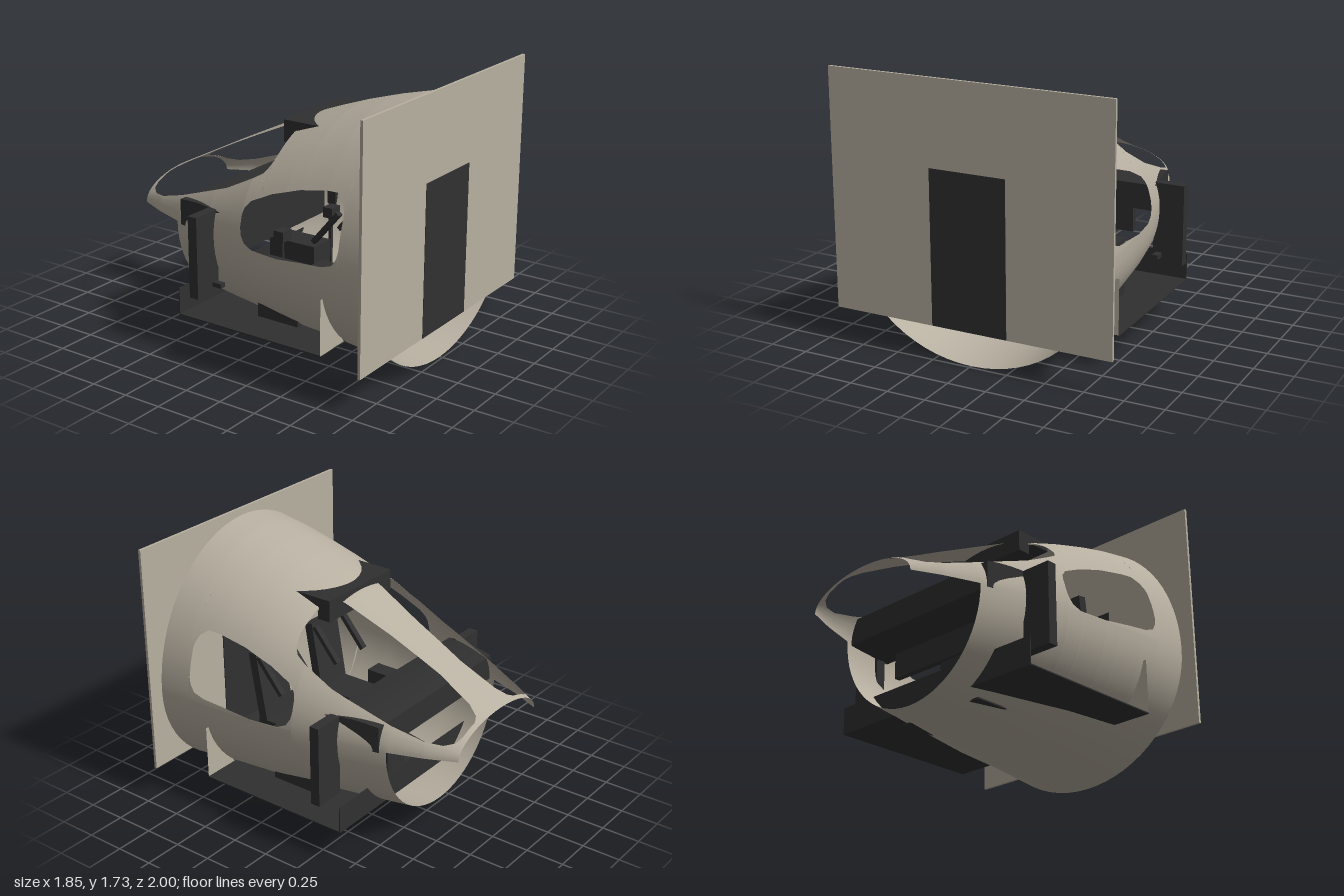
import * as THREE from 'three';
import { mergeVertices } from 'three/addons/utils/BufferGeometryUtils.js';

const paint = (name, color, side = THREE.FrontSide) => {
  const m = new THREE.MeshStandardMaterial({ color, side });
  m.name = name;
  return m;
};

// piecewise-linear lookup through [z, value] pairs in ascending z
function lookup(points, z) {
  if (z <= points[0][0]) return points[0][1];
  for (let i = 1; i < points.length; i++) {
    const [a, va] = points[i - 1], [b, vb] = points[i];
    if (z <= b) return va + (vb - va) * (z - a) / (b - a);
  }
  return points[points.length - 1][1];
}

// hull outline along z
const MID = 0.74;
const TOP = [[-1, 0.91], [-0.5, 1.16], [0, 1.4], [0.2, 1.475], [0.4, 1.545], [0.6, 1.605], [0.8, 1.655], [1, 1.69]];
const BOTTOM = [[-0.6, 0.145], [0, 0.1], [0.25, 0.07], [0.6, 0.05], [1, 0.005]];
const HALF = [[-1, 0.42], [-0.82, 0.505], [-0.6, 0.585], [-0.3, 0.665], [0, 0.73], [0.3, 0.77], [0.62, 0.8], [1, 0.83]];

// window edges: heights, except the inner windscreen edge, which is x
const SIDE_LOW = [[0, 0.87], [0.01, 0.82], [0.04, 0.775], [0.1, 0.747], [0.3, 0.745], [0.5, 0.77], [0.65, 0.785], [0.72, 0.81], [0.75, 0.86], [0.76, 0.91]];
const SIDE_HIGH = [[0, 0.94], [0.01, 0.98], [0.05, 1.025], [0.2, 1.095], [0.4, 1.16], [0.6, 1.2], [0.68, 1.205], [0.73, 1.17], [0.755, 1.12], [0.76, 1.09]];
const SCREEN_OUT = [[-0.97, 0.86], [-0.955, 0.835], [-0.9, 0.822], [-0.8, 0.835], [-0.6, 0.895], [-0.4, 0.965], [-0.2, 1.035], [0, 1.135], [0.07, 1.175], [0.1, 1.22], [0.112, 1.28]];
const SCREEN_IN = [[-0.97, 0.21], [-0.95, 0.17], [-0.88, 0.135], [-0.65, 0.112], [-0.3, 0.135], [0, 0.175], [0.112, 0.19]];

const height = z => lookup(TOP, z) - MID;
const angleAtY = (y, z) => Math.asin(Math.min(1, (y - MID) / height(z)));
const angleAtX = (x, z) => Math.acos(x / lookup(HALF, z));
const inSide = z => z > 0 && z < 0.76;
const inScreen = z => z > -0.97 && z < 0.112;
const sideLow = z => inSide(z) ? angleAtY(lookup(SIDE_LOW, z), z) : 0.3;
const sideHigh = z => inSide(z) ? angleAtY(lookup(SIDE_HIGH, z), z) : 0.3;
const screenOut = z => inScreen(z) ? angleAtY(lookup(SCREEN_OUT, z), z) : 0.95;
const screenIn = z => inScreen(z) ? angleAtX(lookup(SCREEN_IN, z), z) : 0.95;

function hullPoint(t, z, side) {
  const h = t < 0 ? MID - lookup(BOTTOM, z) : height(z);
  return [side * lookup(HALF, z) * Math.cos(t), MID + h * Math.sin(t), z];
}

// hull skin made of lengthwise bands that part around the windows
function hullGeometry() {
  const zs = [-0.6, -0.9701, -0.9699, 0.1119, 0.1121, -0.0001, 0.0001, 0.7599, 0.7601];
  for (let i = 0; i <= 66; i++) zs.push(-1 + i * 0.03);
  for (const list of [SIDE_LOW, SIDE_HIGH, SCREEN_OUT, SCREEN_IN]) for (const [z] of list) zs.push(z);
  const rows = [...new Set(zs.map(z => +z.toFixed(4)))].sort((a, b) => a - b);
  const bands = [
    [() => -Math.PI / 2, () => 0, 16, -0.6],
    [() => 0, sideLow, 5, -1],
    [sideHigh, screenOut, 8, -1],
    [screenIn, () => Math.PI / 2, 8, -1],
  ];
  const pos = [], index = [];
  for (const side of [1, -1]) for (const [from, to, n, start] of bands) {
    const used = rows.filter(z => z >= start);
    const base = pos.length / 3;
    used.forEach((z, r) => {
      const a = from(z), b = to(z);
      for (let j = 0; j <= n; j++) {
        pos.push(...hullPoint(a + (b - a) * j / n, z, side));
        if (r && j) {
          const d = base + r * (n + 1) + j, c = d - 1, e = d - n - 1, f = e - 1;
          index.push(...(side > 0 ? [f, e, d, f, d, c] : [f, d, e, f, c, d]));
        }
      }
    });
  }
  const g = new THREE.BufferGeometry();
  g.setAttribute('position', new THREE.Float32BufferAttribute(pos, 3));
  g.setIndex(index);
  const merged = mergeVertices(g, 1e-5);
  merged.computeVertexNormals();
  return merged;
}

export function createModel() {
  const model = new THREE.Group();
  const shell = paint('warm grey shell', 0xb8b0a1, THREE.DoubleSide);
  const dark = paint('charcoal', 0x303030);
  const metal = paint('grey metal', 0x8c8c8c);

  const add = (name, geometry, material, parent = model) => {
    const m = new THREE.Mesh(geometry, material);
    m.name = name;
    parent.add(m);
    return m;
  };
  // box given by its limits on each axis
  const block = (name, x0, x1, y0, y1, z0, z1, material = dark, parent = model) => {
    const m = add(name, new THREE.BoxGeometry(Math.abs(x1 - x0), y1 - y0, z1 - z0), material, parent);
    m.position.set((x0 + x1) / 2, (y0 + y1) / 2, (z0 + z1) / 2);
    return m;
  };

  add('hull', hullGeometry(), shell);

  // rear wall with its door
  block('bulkhead', -0.925, 0.925, 0.225, 1.735, 0.98, 0.998, shell);
  block('door', -0.25, 0.25, 0.226, 1.2, 0.975, 1);

  // platform and its end wall
  block('floor', -0.8, 0.8, 0.221, 0.229, -0.42, 0.64);
  block('innerFloor', -0.5, 0.5, 0.221, 0.229, 0.64, 0.975);
  block('floorEndWall', -0.8, 0.8, 0.221, 0.4, -0.422, -0.416);

  // projector housing over the windscreen
  block('roofHousing', -0.31, 0.31, 1.3, 1.44, 0.03, 0.12);
  block('roofHousingTop', -0.31, 0.31, 1.385, 1.44, 0.12, 0.3);

  // dashboard: wider towards the seats, with a gently domed top
  const dash = new THREE.BoxGeometry(2, 0.18, 0.36, 1, 1, 8);
  const p = dash.attributes.position;
  for (let i = 0; i < p.count; i++) {
    const k = p.getZ(i) / 0.36 + 0.5;
    p.setX(i, p.getX(i) * (0.6 + 0.06 * k));
    if (p.getY(i) > 0) p.setY(i, 0.065 + 0.025 * Math.sin(Math.PI * (0.15 + 0.7 * k)));
  }
  dash.computeVertexNormals();
  add('dashboard', dash, dark).position.set(0, 0.82, -0.378);
  block('instrumentPanel', -0.5, 0.5, 0.56, 0.73, -0.27, -0.23);
  block('centrePedestal', -0.09, 0.09, 0.229, 0.56, -0.25, 0.1);

  for (const s of [1, -1]) {
    // outer posts carrying the dashboard
    block('post', s * 0.64, s * 0.84, 0.38, 0.907, -0.3, -0.235);
    block('postBracket', s * 0.66, s * 0.7, 0.42, 0.45, -0.235, -0.17);

    // gusset between hull and platform
    const gusset = new THREE.Shape([[0.55, 0.225], [0.8, 0.225], [0.8, 0.58], [0.77, 0.58], [0.69, 0.4]]
      .map(([x, y]) => new THREE.Vector2(s * x, y)));
    add('gusset', new THREE.ShapeGeometry(gusset), shell).position.z = 0.64;

    // pedals below the floor
    block('pedal', s * 0.14, s * 0.21, 0.172, 0.185, -0.35, -0.1);
    block('pedalStem', s * 0.165, s * 0.185, 0.185, 0.222, -0.26, -0.22, metal);
    block('pedalMount', s * 0.2, s * 0.32, 0.172, 0.182, -0.35, -0.11);

    // control yoke and side console
    block('yokeColumn', s * 0.26, s * 0.28, 0.229, 0.66, -0.03, -0.01);
    block('yoke', s * 0.225, s * 0.315, 0.64, 0.71, -0.05, 0.02);
    block('sideConsole', s * 0.43, s * 0.55, 0.229, 0.6, 0, 0.3);

    // seat
    const seat = new THREE.Group();
    seat.name = 'seat';
    seat.position.x = s * 0.28;
    model.add(seat);
    block('seatBase', -0.09, 0.09, 0.229, 0.44, 0.3, 0.5, dark, seat);
    block('seatCushion', -0.13, 0.13, 0.44, 0.52, 0.2, 0.54, dark, seat);
    const back = block('seatBack', -0.13, 0.13, 0.48, 0.97, 0.51, 0.57, dark, seat);
    back.rotation.x = 0.17;
    block('headrestStem', -0.01, 0.01, 0.94, 1.05, 0.58, 0.595, metal, seat);
    const rest = block('headrest', -0.07, 0.07, 1.03, 1.15, 0.56, 0.62, dark, seat);
    rest.rotation.x = -0.12;
    for (const a of [-0.14, 0.14]) {
      const arm = block('armrest', a - 0.02, a + 0.02, 0.72, 1, 0.405, 0.435, dark, seat);
      arm.rotation.x = 0.7;
    }
  }
  return model;
}
